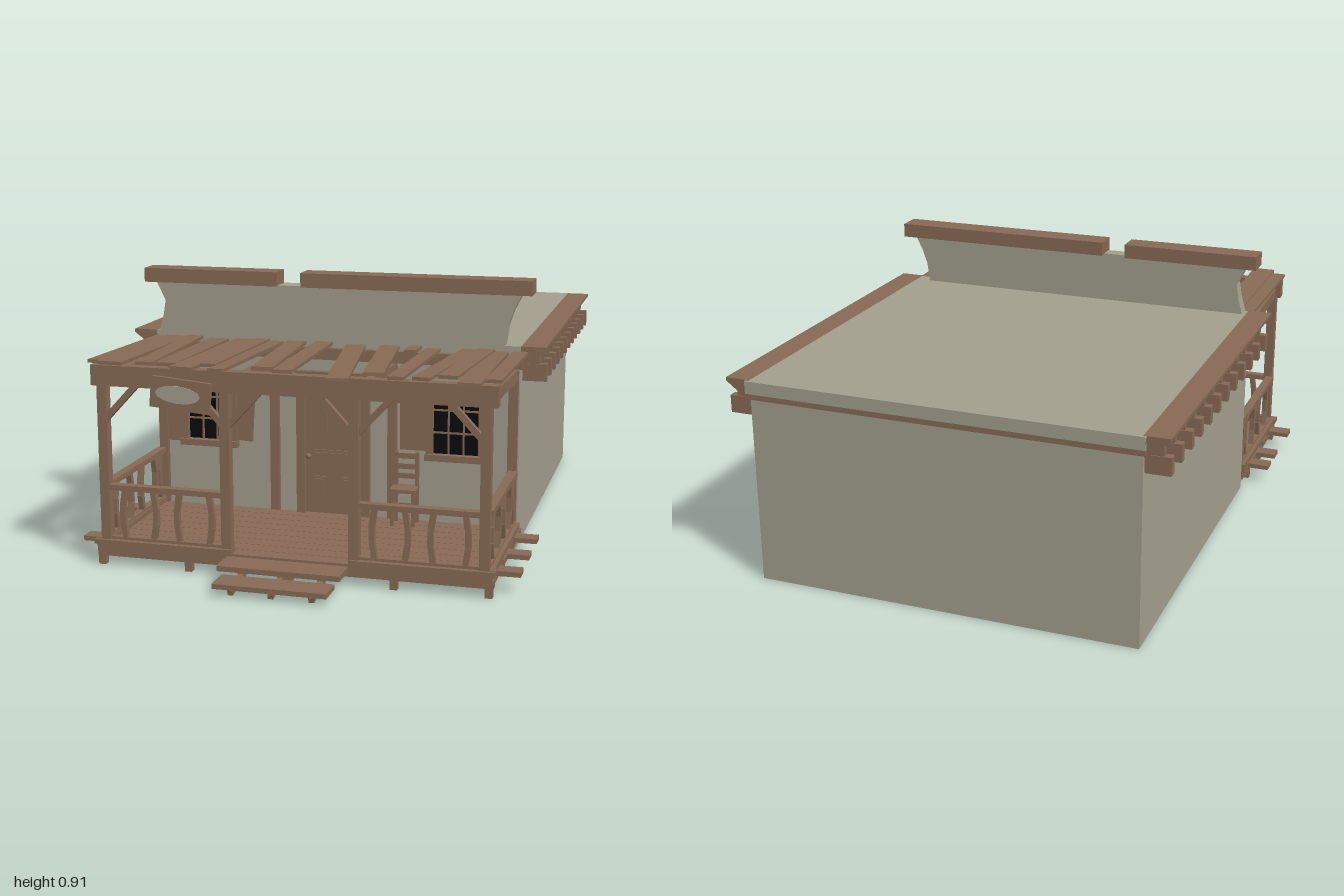
import * as THREE from 'three';

export function createModel() {
  const root = new THREE.Group();
  root.name = 'cabin';
  const mat = (name, color) => Object.assign(new THREE.MeshStandardMaterial({ color }), { name });
  const wood = mat('weathered wood', 0x876a55);
  const plaster = mat('plaster', 0xa39f8e);
  const glass = mat('dark glass', 0x0a0b0c);

  const group = (name, parent = root) => {
    const g = new THREE.Group();
    g.name = name;
    parent.add(g);
    return g;
  };
  const add = (parent, name, geo, m = wood) => {
    const mesh = new THREE.Mesh(geo, m);
    mesh.name = name;
    parent.add(mesh);
    return mesh;
  };
  // Box given by its limits on each axis
  const box = (p, name, x0, x1, y0, y1, z0, z1, m = wood) => {
    const b = add(p, name, new THREE.BoxGeometry(x1 - x0, y1 - y0, z1 - z0), m);
    b.position.set((x0 + x1) / 2, (y0 + y1) / 2, (z0 + z1) / 2);
    return b;
  };
  // Squared timber from point a to point b (w across, h in the other direction)
  const beam = (p, name, a, b, w, h) => {
    const A = new THREE.Vector3(...a), B = new THREE.Vector3(...b);
    const m = add(p, name, new THREE.BoxGeometry(w, h, A.distanceTo(B)));
    m.position.copy(A).add(B).multiplyScalar(0.5);
    m.lookAt(B);
    return m;
  };
  const extrude = (pts, depth) => new THREE.ExtrudeGeometry(
    new THREE.Shape(pts.map(q => new THREE.Vector2(...q))), { depth, bevelEnabled: false });

  // House body, flat roof and false front
  const house = group('house');
  box(house, 'walls', -0.645, 0.645, 0, 0.65, -0.985, 0.275, plaster);
  box(house, 'roof', -0.655, 0.655, 0.65, 0.692, -1, 0.27, plaster);
  const front = extrude([[-0.632, 0.69], [0.59, 0.69], [0.6, 0.76], [0.617, 0.81], [0.645, 0.866],
    [-0.64, 0.866], [-0.608, 0.8], [-0.616, 0.75]], 0.05);
  add(house, 'parapet', front, plaster).position.z = 0.225;
  box(house, 'parapetCap', -0.68, -0.197, 0.863, 0.912, 0.2, 0.285);
  box(house, 'parapetCap', -0.112, 0.68, 0.863, 0.912, 0.2, 0.285);
  box(house, 'backFascia', -0.655, 0.655, 0.632, 0.686, -0.999, -0.984);

  // Sloped eaves with brackets along both sides
  for (const s of [-1, 1]) {
    const eaves = group(s > 0 ? 'leftEaves' : 'rightEaves');
    const pts = [[0.645 * s, 0.632], [0.66 * s, 0.632], [0.727 * s, 0.682], [0.727 * s, 0.693], [0.645 * s, 0.693]];
    add(eaves, 'cornice', extrude(s > 0 ? pts : pts.reverse(), 1.265)).position.z = -0.99;
    for (let i = 0; i < 12; i++) {
      const z = 0.218 - i * 0.107;
      box(eaves, 'bracket', s * 0.683 - 0.043, s * 0.683 + 0.043, 0.57, 0.628, z - 0.014, z + 0.014);
      box(eaves, 'bracketNeck', s * 0.672 - 0.03, s * 0.672 + 0.03, 0.625, 0.68, z - 0.011, z + 0.011);
    }
  }

  // Porch floor: long boards with ragged ends over a low frame
  const floor = group('porchFloor');
  const ends = [[0.655, 0.66], [0.73, 0.73], [0.66, 0.65], [0.73, 0.655], [0.65, 0.73], [0.66, 0.66], [0.65, 0.655], [0.73, 0.73], [0.655, 0.65]];
  ends.forEach(([l, r], i) => {
    const z = 0.31 + i * 0.0575;
    box(floor, 'floorBoard', -l, r, 0.056, 0.072, z - 0.0275, z + 0.0275);
  });
  box(floor, 'frontSill', -0.655, 0.655, 0.03, 0.057, 0.77, 0.795);
  box(floor, 'floorEdge', -0.66, -0.19, 0.072, 0.088, 0.765, 0.81);
  box(floor, 'floorEdge', 0.2, 0.66, 0.072, 0.088, 0.765, 0.81);
  for (const s of [-1, 1]) {
    box(floor, 'sideSill', s * 0.635 - 0.015, s * 0.635 + 0.015, 0.03, 0.057, 0.28, 0.79);
    box(floor, 'sideEdge', s * 0.635 - 0.02, s * 0.635 + 0.02, 0.072, 0.09, 0.28, 0.8);
  }
  for (const x of [-0.64, -0.34, 0, 0.34, 0.64])
    for (const z of [0.38, 0.57, 0.785])
      box(floor, 'footing', x - 0.012, x + 0.012, 0, 0.057, z - 0.012, z + 0.012);

  // Entrance steps
  const steps = group('steps');
  box(steps, 'upperTread', -0.205, 0.195, 0.048, 0.065, 0.8, 0.9);
  box(steps, 'lowerTread', -0.187, 0.18, 0.024, 0.04, 0.902, 0.995);
  for (const x of [-0.13, 0, 0.13]) {
    beam(steps, 'stringer', [x, 0.012, 0.985], [x, 0.045, 0.82], 0.018, 0.016);
    box(steps, 'stepLeg', x - 0.01, x + 0.01, 0, 0.05, 0.86, 0.885);
  }

  // Posts, braces and roof frame
  const frame = group('porchFrame');
  const posts = [-0.622, -0.208, 0.212, 0.625];
  for (const x of posts) {
    box(frame, 'frontPost', x - 0.016, x + 0.016, 0.072, 0.61, 0.767, 0.8);
    box(frame, 'wallPost', x - 0.016, x + 0.016, 0.072, 0.61, 0.275, 0.291);
    beam(frame, 'rafter', [x, 0.58 + 0.018, 0.28], [x, 0.617, 0.78], 0.028, 0.038);
    for (const s of [-1, 1])
      if (Math.abs(x + s * 0.1) < 0.6)
        beam(frame, 'brace', [x + s * 0.008, 0.49, 0.782], [x + s * 0.115, 0.605, 0.782], 0.02, 0.02);
  }
  box(frame, 'frontBeam', -0.655, 0.66, 0.6, 0.667, 0.768, 0.805);
  box(frame, 'wallBeam', -0.655, 0.655, 0.62, 0.66, 0.275, 0.3);

  // Loose roof boards: x at wall, x at outer end, z of end, width
  const boards = group('porchRoof');
  [[-0.625, -0.635, 0.81, 0.05], [-0.565, -0.57, 0.845, 0.08], [-0.5, -0.457, 0.835, 0.058],
    [-0.41, -0.4, 0.8, 0.07], [-0.31, -0.32, 0.875, 0.075], [-0.25, -0.255, 0.81, 0.05],
    [-0.2, -0.212, 0.86, 0.05], [-0.13, -0.08, 0.8, 0.068], [-0.03, 0, 0.85, 0.06],
    [0.08, 0.19, 0.905, 0.068], [0.2, 0.275, 0.8, 0.065], [0.29, 0.29, 0.37, 0.04],
    [0.35, 0.35, 0.83, 0.05], [0.475, 0.43, 0.835, 0.055], [0.53, 0.505, 0.8, 0.06],
    [0.57, 0.582, 0.87, 0.07], [0.645, 0.645, 0.81, 0.05]].forEach(([a, b, z, w], i) => {
    const y = 0.668 + (i % 3) * 0.003;
    beam(boards, 'roofBoard', [a, y, 0.275], [b, y + (z - 0.275) * 0.022, z], w, 0.011);
  });

  // Railings with crooked balusters
  const railing = (name, from, to, spots) => {
    const g = group(name);
    const at = (t, y) => [from[0] + (to[0] - from[0]) * t, y, from[1] + (to[1] - from[1]) * t];
    beam(g, 'topRail', at(0, 0.263), at(1, 0.263), 0.03, 0.018);
    beam(g, 'bottomRail', at(0, 0.088), at(1, 0.088), 0.022, 0.018);
    spots.forEach((t, i) => {
      const d = (i % 2 ? 1 : -1) * 0.025, ys = [0.09, 0.15, 0.2, 0.26], off = [0, d, d, 0];
      for (let k = 0; k < 3; k++)
        beam(g, 'baluster', at(t + off[k], ys[k]), at(t + off[k + 1], ys[k + 1]), 0.018, 0.018);
    });
  };
  const spots = [0.13, 0.38, 0.62, 0.88];
  railing('frontRailRight', [-0.606, 0.782], [-0.224, 0.782], spots);
  railing('frontRailLeft', [0.228, 0.782], [0.609, 0.782], spots);
  for (const s of [-1, 1])
    railing(s > 0 ? 'sideRailLeft' : 'sideRailRight', [0.63 * s, 0.77], [0.63 * s, 0.285], [0.16, 0.38, 0.6, 0.82, 0.94]);

  // Panelled door
  const door = group('door');
  box(door, 'doorLeaf', -0.1, 0.105, 0.07, 0.55, 0.27, 0.283);
  for (const x of [-0.112, 0.118]) box(door, 'jamb', x - 0.015, x + 0.015, 0.07, 0.55, 0.27, 0.297);
  box(door, 'lintel', -0.13, 0.136, 0.545, 0.577, 0.27, 0.3);
  for (const [x0, x1, y0, y1] of [[-0.072, -0.016, 0.335, 0.515], [0.022, 0.08, 0.335, 0.515],
    [-0.072, 0.08, 0.245, 0.3], [-0.066, -0.022, 0.135, 0.205], [0.03, 0.075, 0.135, 0.205]]) {
    box(door, 'panelMould', x0, x1, y0, y1, 0.282, 0.288);
    box(door, 'panel', x0 + 0.009, x1 - 0.009, y0 + 0.009, y1 - 0.009, 0.285, 0.293);
  }
  add(door, 'knob', new THREE.SphereGeometry(0.01, 8, 6)).position.set(-0.084, 0.277, 0.296);

  // Windows with glazing bars and crooked shutters
  for (const [x, name] of [[-0.448, 'rightWindow'], [0.433, 'leftWindow']]) {
    const w = group(name);
    box(w, 'pane', x - 0.08, x + 0.08, 0.305, 0.545, 0.272, 0.279, glass);
    for (const s of [-1, 1]) box(w, 'frameSide', x + s * 0.09 - 0.012, x + s * 0.09 + 0.012, 0.29, 0.56, 0.272, 0.295);
    box(w, 'frameTop', x - 0.102, x + 0.102, 0.54, 0.562, 0.272, 0.295);
    box(w, 'windowSill', x - 0.105, x + 0.105, 0.29, 0.312, 0.272, 0.305);
    for (const d of [-1, 1]) {
      box(w, 'bar', x + d * 0.026 - 0.003, x + d * 0.026 + 0.003, 0.31, 0.54, 0.277, 0.285);
      box(w, 'bar', x - 0.08, x + 0.08, 0.422 + d * 0.039, 0.428 + d * 0.039, 0.277, 0.285);
    }
  }
  const shutters = group('shutters');
  box(shutters, 'shutter', -0.605, -0.54, 0.3, 0.535, 0.274, 0.288);
  box(shutters, 'shutter', -0.37, -0.285, 0.315, 0.55, 0.274, 0.288).rotation.z = -0.06;
  box(shutters, 'shutter', 0.24, 0.34, 0.32, 0.53, 0.274, 0.288);

  // Tilted board hanging from the front beam, with a pale worn patch
  const sign = group('hangingBoard');
  sign.position.set(-0.345, 0.587, 0.813);
  sign.rotation.z = -0.09;
  box(sign, 'board', -0.1, 0.1, -0.05, 0.05, -0.007, 0.007);
  const patch = add(sign, 'wornPatch', new THREE.CylinderGeometry(0.075, 0.075, 0.004, 12), plaster);
  patch.rotation.x = Math.PI / 2;
  patch.scale.z = 0.38;
  patch.position.set(-0.008, 0, 0.008);

  // Ladder-back chair by the wall
  const chair = group('chair');
  for (const x of [0.232, 0.305]) {
    box(chair, 'backLeg', x - 0.006, x + 0.006, 0.072, 0.318, 0.3, 0.312);
    box(chair, 'frontLeg', x - 0.006, x + 0.006, 0.072, 0.195, 0.36, 0.372);
    box(chair, 'sideRung', x - 0.004, x + 0.004, 0.125, 0.133, 0.306, 0.366);
  }
  box(chair, 'seat', 0.224, 0.312, 0.19, 0.202, 0.298, 0.376);
  for (const y of [0.225, 0.258, 0.295]) box(chair, 'backSlat', 0.232, 0.305, y, y + 0.018, 0.302, 0.31);
  box(chair, 'frontRung', 0.232, 0.305, 0.145, 0.155, 0.362, 0.37);

  return root;
}
